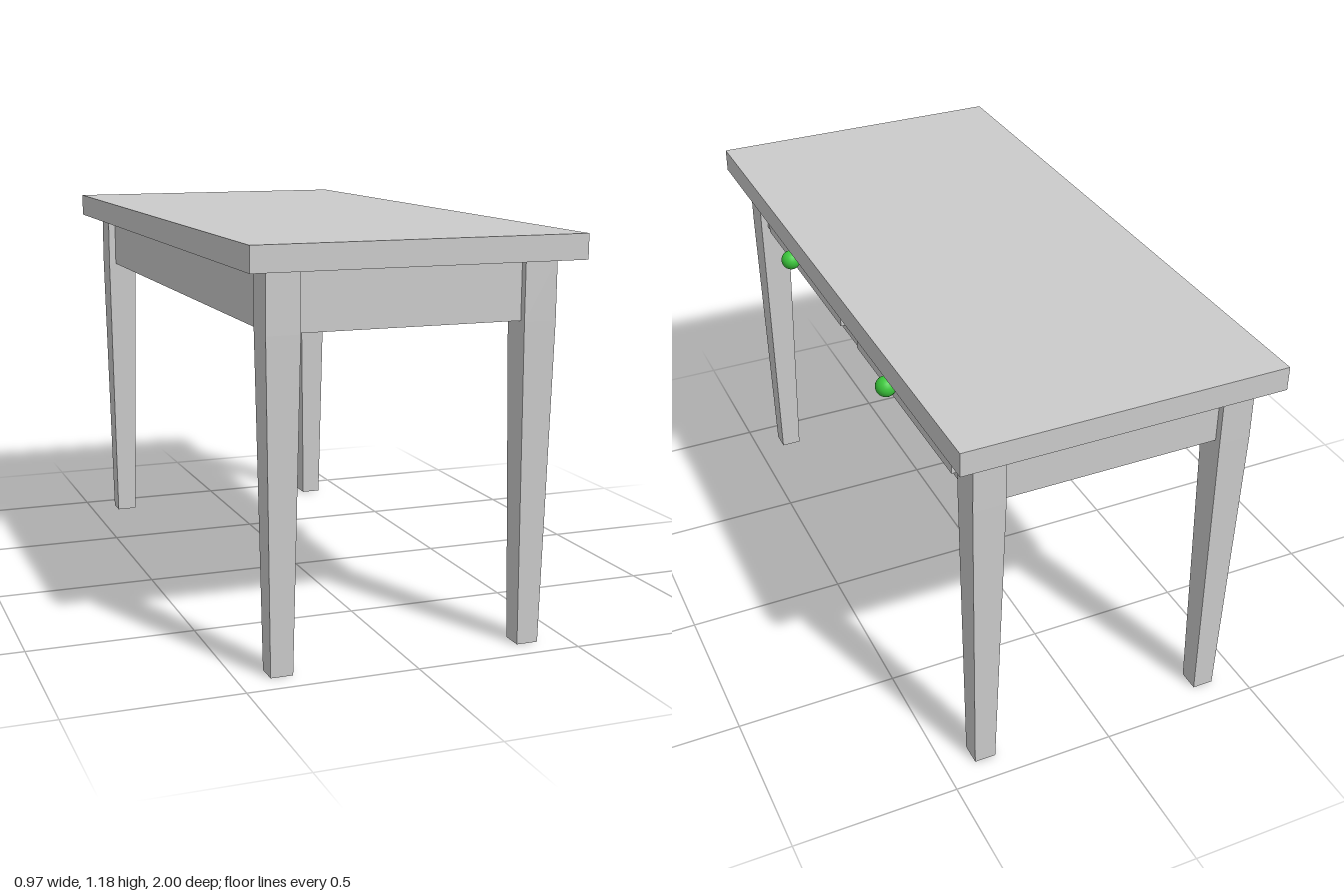
import * as THREE from 'three';

const wood = new THREE.MeshStandardMaterial({ color: 0xcccccc });
const green = new THREE.MeshStandardMaterial({ color: 0x3cc83c });

// Box given by its minimum and maximum corners
function boxBetween(name, [x0, y0, z0], [x1, y1, z1]) {
  const mesh = new THREE.Mesh(new THREE.BoxGeometry(x1 - x0, y1 - y0, z1 - z0), wood);
  mesh.position.set((x0 + x1) / 2, (y0 + y1) / 2, (z0 + z1) / 2);
  mesh.name = name;
  return mesh;
}

// Square leg: straight block beside the apron, tapering below it to the foot
function legGeometry(height, blockBottom, topWidth, footWidth) {
  const geo = new THREE.BoxGeometry(topWidth, height, topWidth, 1, 2, 1);
  geo.translate(0, height / 2, 0);
  const p = geo.attributes.position;
  for (let i = 0; i < p.count; i++) {
    const y = p.getY(i);
    if (y < 0.01) {
      const s = footWidth / topWidth;
      p.setX(i, p.getX(i) * s);
      p.setZ(i, p.getZ(i) * s);
    } else if (y < height - 0.01) {
      p.setY(i, blockBottom);
    }
  }
  const flat = geo.toNonIndexed();
  flat.computeVertexNormals();
  return flat;
}

// Round knob on a short neck, turned about its own axis
function knobGeometry(length, radius, neck) {
  const points = [new THREE.Vector2(neck, 0)];
  const start = Math.asin(neck / radius);
  for (let i = 0; i <= 14; i++) {
    const a = start + (Math.PI - start) * (i / 14);
    const r = i === 14 ? 0 : radius * Math.sin(a);
    points.push(new THREE.Vector2(r, length - radius - radius * Math.cos(a)));
  }
  return new THREE.LatheGeometry(points, 24).rotateZ(-Math.PI / 2);
}

export function createModel() {
  const table = new THREE.Group();
  table.name = 'table';
  const under = 1.113, apronBottom = 0.942;

  table.add(boxBetween('tableTop', [-0.485, under, -1], [0.485, 1.185, 1]));
  table.add(boxBetween('apron', [-0.4, apronBottom, -0.92], [0.4, under, 0.92]));

  // Four legs
  const leg = legGeometry(under, apronBottom, 0.097, 0.065);
  for (const sx of [-1, 1]) {
    for (const sz of [-1, 1]) {
      const mesh = new THREE.Mesh(leg, wood);
      mesh.name = (sz > 0 ? 'front' : 'back') + (sx > 0 ? 'Left' : 'Right') + 'Leg';
      mesh.position.set(sx * 0.375, 0, sz * 0.893);
      table.add(mesh);
    }
  }

  // Two drawers on the long +x side, each with a knob
  const knob = knobGeometry(0.073, 0.031, 0.018);
  for (const sz of [-1, 1]) {
    const drawer = new THREE.Group();
    drawer.name = sz > 0 ? 'frontDrawer' : 'backDrawer';
    const z = sz * 0.426;
    drawer.add(boxBetween('drawerFace', [0.38, 0.957, z - 0.355], [0.413, 1.096, z + 0.355]));
    const handle = new THREE.Mesh(knob, green);
    handle.name = 'drawerKnob';
    handle.position.set(0.412, 1.032, sz * 0.416);
    drawer.add(handle);
    table.add(drawer);
  }
  return table;
}
